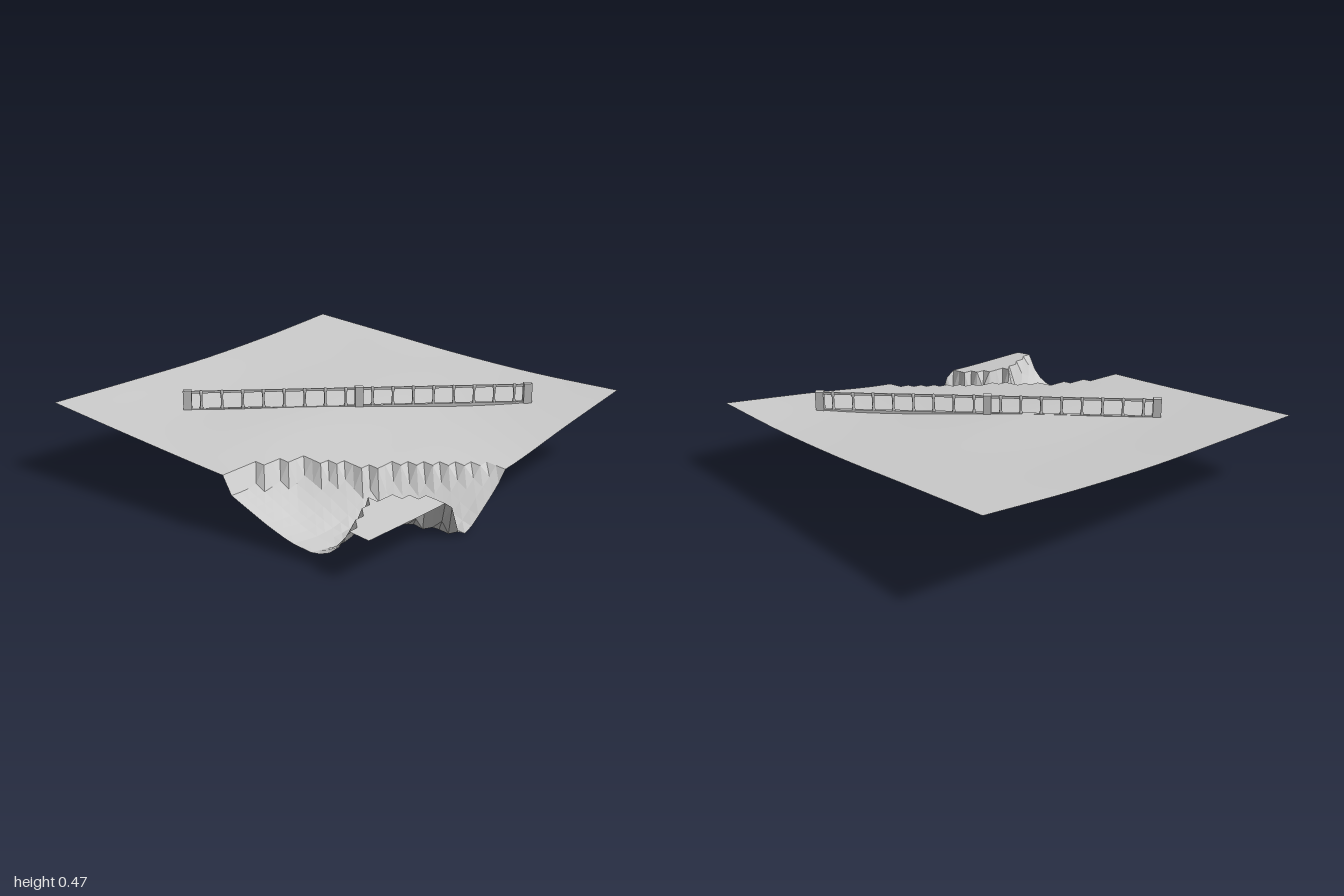
import * as THREE from 'three';

const CELLS = 39;
const grey = (options = {}) => new THREE.MeshStandardMaterial({ color: 0xcccccc, ...options });

// Rolling ground heights, rows from back (z = -1) to front, columns from x = -1
const HEIGHTS = [
  [0.38, 0.39, 0.405, 0.44, 0.49],
  [0.335, 0.345, 0.365, 0.40, 0.45],
  [0.293, 0.32, 0.345, 0.37, 0.41],
  [0.255, 0.26, 0.295, 0.335, 0.385],
  [0.20, 0.205, 0.235, 0.31, 0.38],
];

// The two banks of the stream, as [x, z] points
const UPPER_BANK = [[-1.1, 0.15], [-0.9, 0.17], [-0.75, 0.24], [-0.65, 0.29], [-0.55, 0.43], [-0.47, 0.53],
  [-0.38, 0.61], [-0.28, 0.68], [-0.2, 0.76], [-0.1, 0.88], [-0.03, 0.96], [0, 1.1]];
const LOWER_BANK = [[-1.1, 0.96], [-1, 0.9], [-0.9, 0.83], [-0.78, 0.79], [-0.7, 0.75], [-0.6, 0.79],
  [-0.53, 0.81], [-0.49, 0.9], [-0.44, 1], [-0.42, 1.2]];
// Height across the stream bed from upper to lower bank, and height of its floor along x
const BED = [[0, 0.215], [0.17, 0.155], [0.42, 0.07], [0.6, 0.02], [0.78, 0], [0.9, 0.05], [1, 0.17]];
const FLOOR = [[-1, 0.06], [-0.85, 0.04], [-0.6, 0.055], [-0.45, 0.03], [-0.35, 0.01], [0, 0.01]];

function lerpTable(table, x) {
  if (x <= table[0][0]) return table[0][1];
  for (let i = 1; i < table.length; i++) {
    const [x0, y0] = table[i - 1], [x1, y1] = table[i];
    if (x <= x1) return y0 + (y1 - y0) * (x - x0) / (x1 - x0);
  }
  return table[table.length - 1][1];
}

function distanceTo(line, x, z) {
  const p = new THREE.Vector3(x, 0, z), near = new THREE.Vector3();
  let best = Infinity;
  for (let i = 1; i < line.length; i++) {
    const [a, b] = [line[i - 1], line[i]].map(([px, pz]) => new THREE.Vector3(px, 0, pz));
    new THREE.Line3(a, b).closestPointToPoint(p, true, near);
    best = Math.min(best, near.distanceTo(p));
  }
  return best;
}

// Smooth curve through evenly spaced values, t from -1 to 1
function spline(values, t) {
  const s = (t + 1) / 2 * (values.length - 1);
  const i = Math.min(Math.floor(s), values.length - 2), f = s - i;
  const at = (k) => k < 0 ? 2 * values[0] - values[1]
    : k >= values.length ? 2 * values[k - 1] - values[k - 2] : values[k];
  const [a, b, c, d] = [at(i - 1), at(i), at(i + 1), at(i + 2)];
  return b + 0.5 * f * (c - a + f * (2 * a - 5 * b + 4 * c - d + f * (3 * (b - c) + d - a)));
}

const groundHeight = (x, z) => spline(HEIGHTS.map((row) => spline(row, x)), z);

function inStream(x, z) {
  const beforeLower = x > -0.43 || z < lerpTable(LOWER_BANK, x) - 0.01;
  return x < -0.03 && z > lerpTable(UPPER_BANK, x) + 0.03 && beforeLower;
}

function bedHeight(x, z) {
  const a = distanceTo(UPPER_BANK, x, z), b = distanceTo(LOWER_BANK, x, z);
  const floor = lerpTable(FLOOR, x);
  return floor + lerpTable(BED, a / (a + b)) * (0.235 - floor) / 0.225;
}

// One height grid, split into smooth ground and a faceted stream bed
function makeTerrain() {
  const positions = [], wet = [], groundIndex = [], bedIndex = [];
  for (let j = 0; j <= CELLS; j++) {
    for (let i = 0; i <= CELLS; i++) {
      const x = -1 + 2 * i / CELLS, z = -1 + 2 * j / CELLS;
      const inside = inStream(x, z);
      wet.push(inside);
      positions.push(x, inside ? bedHeight(x, z) : groundHeight(x, z), z);
    }
  }
  const addTriangle = (...t) => (t.some((k) => wet[k]) ? bedIndex : groundIndex).push(...t);
  for (let j = 0; j < CELLS; j++) {
    for (let i = 0; i < CELLS; i++) {
      const a = j * (CELLS + 1) + i, b = a + CELLS + 1;
      addTriangle(a, b, a + 1);
      addTriangle(b, b + 1, a + 1);
    }
  }
  const build = (index, name, flatShading) => {
    const geometry = new THREE.BufferGeometry();
    geometry.setAttribute('position', new THREE.Float32BufferAttribute(positions, 3));
    geometry.setIndex(index);
    geometry.computeVertexNormals();
    const mesh = new THREE.Mesh(geometry, grey({ flatShading, side: THREE.DoubleSide }));
    mesh.name = name;
    return mesh;
  };
  const terrain = new THREE.Group();
  terrain.name = 'terrain';
  terrain.add(build(groundIndex, 'ground', false), build(bedIndex, 'streamBed', true));
  return terrain;
}

// Level balustrade of two bays, running along its own x axis
function makeBalustrade() {
  const group = new THREE.Group();
  group.name = 'balustrade';
  const material = grey();
  const add = (name, geometry, x, y) => {
    const mesh = new THREE.Mesh(geometry, material);
    mesh.name = name;
    mesh.position.set(x, y, 0);
    group.add(mesh);
  };
  const half = 0.85, bay = 0.85, count = 8;
  const post = new THREE.BoxGeometry(0.042, 0.135, 0.035);
  for (const x of [-half, 0, half]) add('post', post, x, 0.3725);

  // Slim turned baluster with a wider foot and collar
  const profile = [[0, 0.34], [0.009, 0.34], [0.009, 0.352], [0.006, 0.36], [0.006, 0.41],
    [0.009, 0.42], [0.009, 0.436], [0, 0.438]].map(([r, y]) => new THREE.Vector2(r, y));
  const baluster = new THREE.LatheGeometry(profile, 8);
  for (const start of [-half, 0]) {
    add('bottomRail', new THREE.BoxGeometry(bay, 0.032, 0.018), start + bay / 2, 0.329);
    add('topRail', new THREE.BoxGeometry(bay, 0.012, 0.008), start + bay / 2, 0.429);
    for (let i = 0; i < count; i++) {
      add('baluster', baluster, start + 0.067 + i * (bay - 0.134) / (count - 1), 0);
    }
  }
  group.position.set(0.035, 0, 0.09);
  group.rotation.y = -Math.PI / 4;
  return group;
}

export function createModel() {
  const model = new THREE.Group();
  model.name = 'landscape';
  model.add(makeTerrain(), makeBalustrade());
  return model;
}
